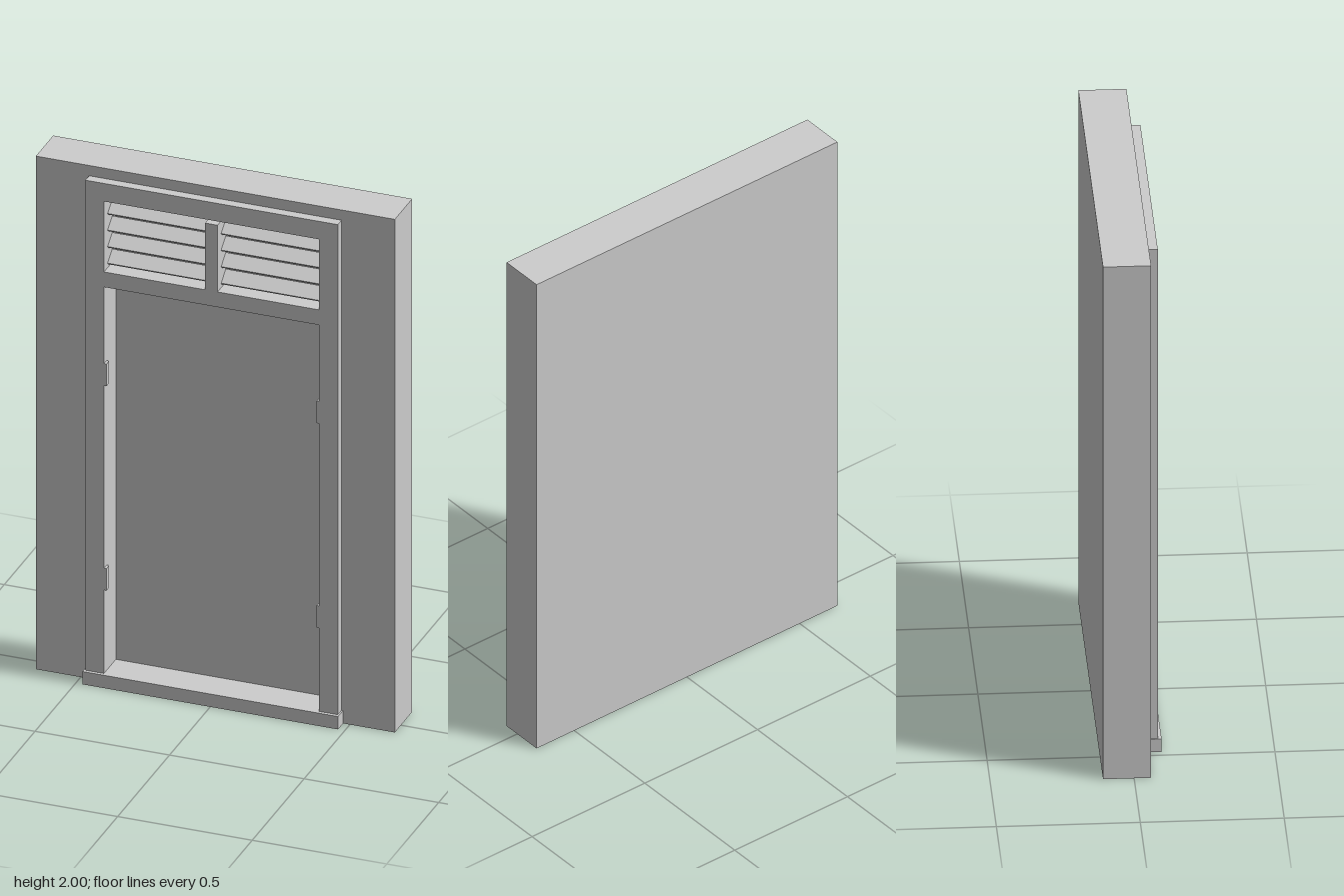
import * as THREE from 'three';

const HALF_W = 0.667, HEIGHT = 2, BACK = -0.108, WALL_FRONT = 0.059;
const FRAME_FRONT = 0.095, RECESS = -0.02, SILL_TOP = 0.05;
const FRAME_X = 0.469, FRAME_TOP = 1.96, OPEN_X = 0.4;
const DOOR_TOP = 1.556, VENT_LOW = 1.615, VENT_TOP = 1.89;

// Closed outline from a short list of points
const outline = (Type, pts) => new Type(pts.map(([x, y]) => new THREE.Vector2(x, y)));

export function createModel() {
  const model = new THREE.Group();
  const grey = new THREE.MeshStandardMaterial({ color: 0xcccccc });
  grey.name = 'plain grey';

  const add = (name, geometry, parent = model) => {
    const mesh = new THREE.Mesh(geometry, grey);
    mesh.name = name;
    parent.add(mesh);
    return mesh;
  };

  // Box given by its lower and upper limits on each axis
  const block = (name, x0, x1, y0, y1, z0, z1, parent) => {
    const mesh = add(name, new THREE.BoxGeometry(x1 - x0, y1 - y0, z1 - z0), parent);
    mesh.position.set((x0 + x1) / 2, (y0 + y1) / 2, (z0 + z1) / 2);
    return mesh;
  };

  // Wall: a box whose front face is replaced by one with a doorway notch
  const wall = new THREE.Group();
  wall.name = 'wall';
  model.add(wall);
  const shell = block('wallShell', -HALF_W, HALF_W, 0, HEIGHT, BACK, WALL_FRONT, wall);
  const index = Array.from(shell.geometry.index.array);
  index.splice(24, 6);
  shell.geometry.setIndex(index);
  shell.geometry.clearGroups();
  const face = outline(THREE.Shape, [
    [-HALF_W, 0], [-FRAME_X, 0], [-FRAME_X, FRAME_TOP], [FRAME_X, FRAME_TOP],
    [FRAME_X, 0], [HALF_W, 0], [HALF_W, HEIGHT], [-HALF_W, HEIGHT],
  ]);
  add('wallFront', new THREE.ShapeGeometry(face), wall).position.z = WALL_FRONT;

  // Door frame with an open doorway below and a vent opening above
  const frame = outline(THREE.Shape, [
    [-FRAME_X, SILL_TOP], [-OPEN_X, SILL_TOP], [-OPEN_X, DOOR_TOP], [OPEN_X, DOOR_TOP],
    [OPEN_X, SILL_TOP], [FRAME_X, SILL_TOP], [FRAME_X, FRAME_TOP], [-FRAME_X, FRAME_TOP],
  ]);
  frame.holes.push(outline(THREE.Path, [
    [-OPEN_X, VENT_LOW], [-OPEN_X, VENT_TOP], [OPEN_X, VENT_TOP], [OPEN_X, VENT_LOW],
  ]));
  add('doorFrame', new THREE.ExtrudeGeometry(frame, {
    depth: FRAME_FRONT - RECESS, bevelEnabled: false,
  })).position.z = RECESS;

  // Recessed panel behind doorway and vent, and the projecting sill
  block('recessPanel', -FRAME_X, FRAME_X, SILL_TOP, FRAME_TOP, RECESS - 0.02, RECESS);
  block('sill', -0.475, 0.475, 0, SILL_TOP, RECESS - 0.02, 0.108);

  // Hinge plates on both jambs
  for (const side of [-1, 1]) {
    for (const y of [0.418, 1.215]) {
      const x = side * (OPEN_X - 0.005);
      block('hinge', x - 0.005, x + 0.005, y - 0.043, y + 0.043, 0.07, FRAME_FRONT);
    }
  }

  // Vent: central mullion and four slats sloping down to the front
  const vent = new THREE.Group();
  vent.name = 'louvreVent';
  model.add(vent);
  block('mullion', -0.024, 0.022, VENT_LOW, 1.875, RECESS, FRAME_FRONT, vent);
  // Slat section drawn as (-z, y), turned to run along x
  const section = outline(THREE.Shape, [
    [-0.06, 0], [-0.056, -0.006], [-0.011, 0.028], [-0.015, 0.034],
  ]);
  for (let i = 0; i < 4; i++) {
    const slat = add('slat', new THREE.ExtrudeGeometry(section, {
      depth: 2 * OPEN_X, bevelEnabled: false,
    }), vent);
    slat.rotation.y = Math.PI / 2;
    slat.position.set(-OPEN_X, 1.826 - i * 0.0645, 0);
  }
  return model;
}
